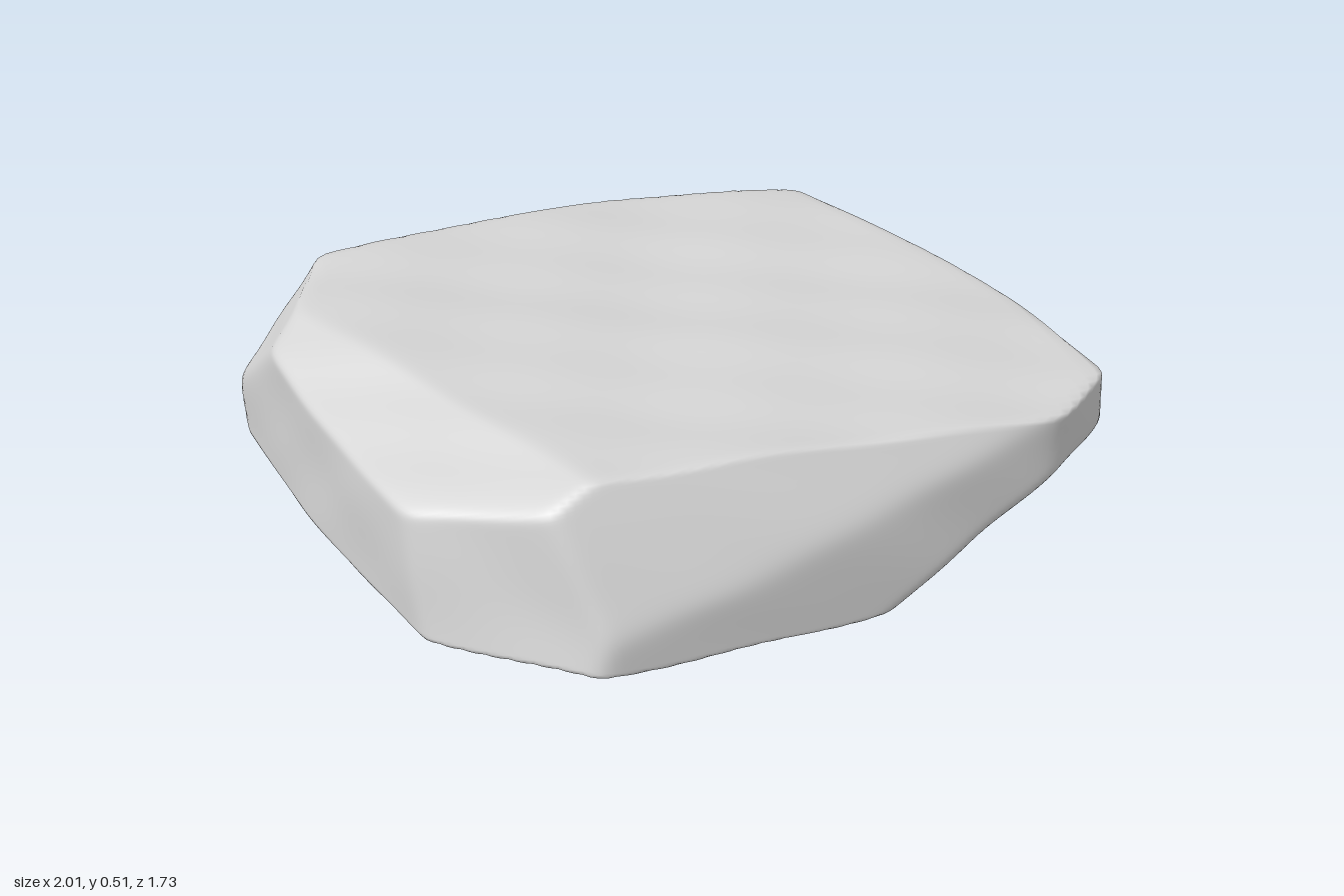
import * as THREE from 'three';
import { mergeVertices } from 'three/addons/utils/BufferGeometryUtils.js';

const CENTRE = new THREE.Vector3(0, 0.25, 0);
const SHARPNESS = 90;

// A cutting plane through three points, facing away from the centre
function cut(...points) {
  const [a, b, c] = points.map((p) => new THREE.Vector3(...p).sub(CENTRE));
  const normal = b.clone().sub(a).cross(c.clone().sub(a)).normalize();
  const distance = normal.dot(a);
  return normal.divideScalar(distance);
}

// An upright cutting plane through two plan points (x, z)
const wall = (x1, z1, x2, z2) => cut([x1, 0, z1], [x2, 0, z2], [x1, 1, z1]);

const cuts = [
  // top and underside
  cut([0, 0.506, 0], [1, 0.5, 0], [0, 0.506, 1]),
  cut([0, 0.025, 0], [1, 0.025, 0], [0, 0.025, 1]),
  // left side and its front chamfer
  wall(-1, -0.77, -0.987, -0.23),
  wall(-0.987, -0.23, -0.908, 0.44),
  cut([-0.92, 0.1, 0.44], [-0.55, 0.1, 0.84], [-0.6, 0.48, 0.69]),
  // worn top at the left front, broken corner at the left back
  cut([-0.92, 0.345, 0.42], [-0.55, 0.49, 0.62], [-0.98, 0.45, -0.45]),
  cut([-1, 0.2, -0.775], [-0.72, 0.5, -0.845], [-0.98, 0.445, -0.45]),
  // front, sloping back towards the left
  wall(-0.54, 0.84, 0.3, 0.862),
  wall(0.3, 0.862, 0.75, 0.842),
  cut([-0.55, 0.15, 0.83], [-0.55, 0.49, 0.66], [0.5, 0.49, 0.82]),
  wall(0.74, 0.845, 0.985, 0.685),
  // right side, leaning in towards the back
  cut([0.998, 0.2, -0.5], [0.993, 0.2, 0.68], [0.978, 0.48, 0.1]),
  cut([0.99, 0.12, -0.51], [0.76, 0.48, -0.65], [0.93, 0.48, 0]),
  // rounded back, leaning in a little at the top left
  wall(1, -0.51, 0.75, -0.67),
  wall(0.75, -0.67, 0.4, -0.79),
  wall(0.4, -0.79, 0.1, -0.845),
  wall(0.1, -0.845, -0.77, -0.867),
  wall(-0.77, -0.867, -1, -0.77),
  cut([-0.77, 0.3, -0.867], [0.1, 0.42, -0.845], [-0.7, 0.5, -0.84]),
  // back undercut
  cut([0.93, 0.02, -0.49], [-0.82, 0.02, -0.85], [0.1, 0.42, -0.84]),
  // broken underside at the right front, in two facets
  cut([0.28, 0.03, 0.84], [0.8, 0.33, 0.82], [0.985, 0.22, 0.5]),
  cut([0.28, 0.025, 0.84], [0.985, 0.22, 0.5], [0.985, 0.055, -0.2]),
];

// Soft rolling unevenness
function ripple(x, y, z, k) {
  return 0.5 * Math.sin(4.3 * x + 2.9 * z + 6 * y + k)
    + 0.4 * Math.sin(7.7 * z - 3.9 * x - 10 * y + 2.3 * k)
    + 0.35 * Math.sin(11.3 * x + 5.1 * z + 14 * y + 4.1 * k)
    + 0.2 * Math.sin(17 * z - 13 * x - 19 * y + 1.7 * k);
}

function stoneGeometry() {
  let geometry = new THREE.IcosahedronGeometry(1, 60);
  geometry.deleteAttribute('normal');
  geometry.deleteAttribute('uv');
  geometry = mergeVertices(geometry, 1e-5);

  // Push each point out to the cuts, slightly rounding the edges between them
  const position = geometry.attributes.position;
  const flatten = new THREE.Vector3(1, 0.33, 0.88);
  const p = new THREE.Vector3();
  for (let i = 0; i < position.count; i++) {
    p.fromBufferAttribute(position, i).multiply(flatten);
    const reach = cuts.map((c) => Math.max(0, c.dot(p)));
    const nearest = Math.max(...reach);
    const sum = reach.reduce((s, r) => s + (r / nearest) ** SHARPNESS, 0);
    p.divideScalar(nearest * sum ** (1 / SHARPNESS)).add(CENTRE);
    const { x, y, z } = p;
    position.setXYZ(i,
      x + 0.006 * ripple(x, y, z, 1),
      y + 0.008 * ripple(x, y, z, 2.6),
      z + 0.006 * ripple(x, y, z, 4.4));
  }

  // Stand it on the ground
  geometry.computeBoundingBox();
  geometry.translate(0, -geometry.boundingBox.min.y, 0);
  geometry.computeVertexNormals();
  return geometry;
}

export function createModel() {
  const group = new THREE.Group();
  group.name = 'flatStone';
  const stone = new THREE.MeshStandardMaterial({ color: 0xd4d4d4 });
  stone.name = 'stoneGrey';
  const slab = new THREE.Mesh(stoneGeometry(), stone);
  slab.name = 'stoneSlab';
  group.add(slab);
  return group;
}
